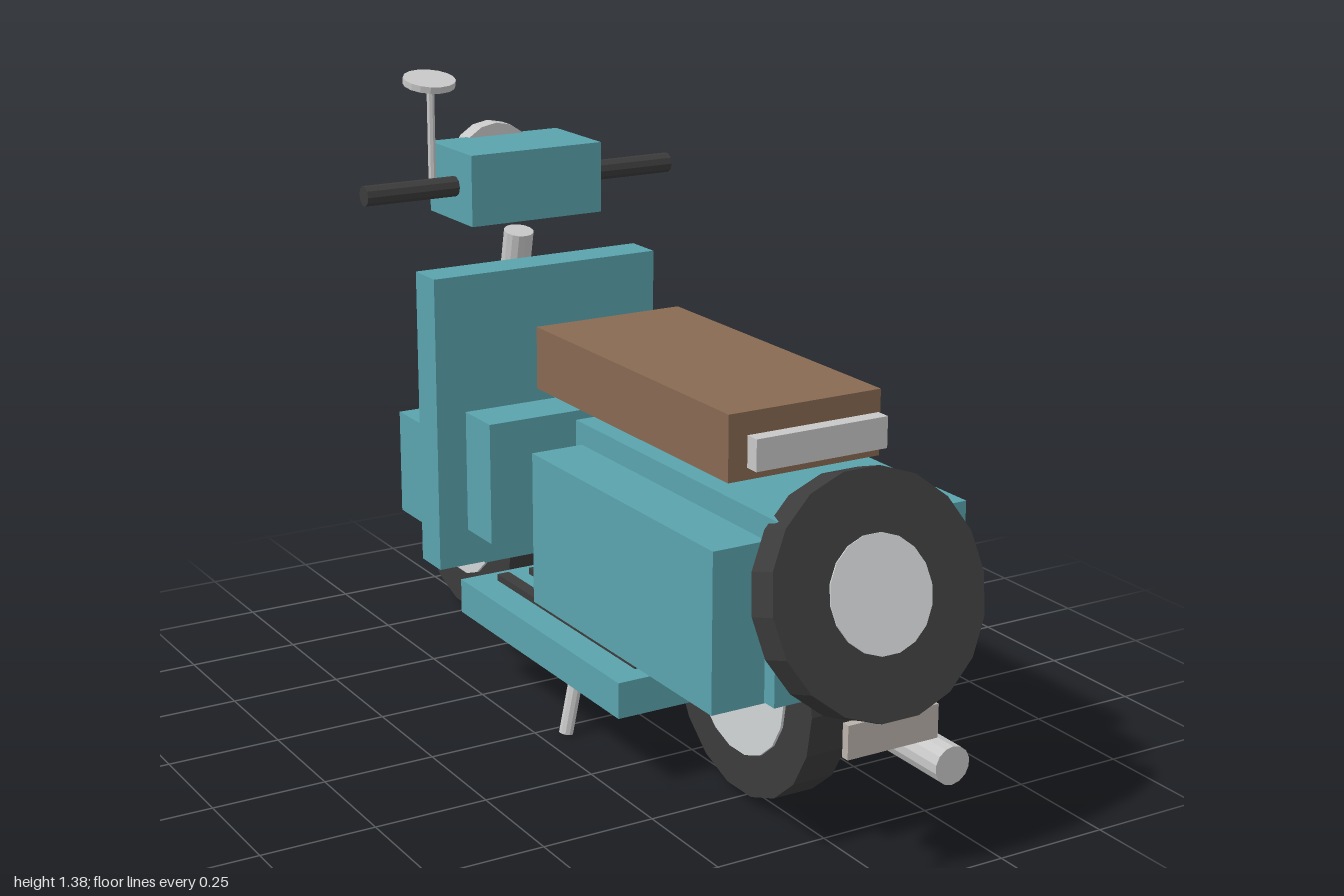
import * as THREE from 'three';

const mat = (name, hex) => {
  const m = new THREE.MeshStandardMaterial({ color: hex });
  m.name = name;
  return m;
};

export function createModel() {
  const root = new THREE.Group();
  root.name = 'scooter';

  const teal = mat('teal paint', 0x5aa4ad);
  const brown = mat('brown leather', 0x886a52);
  const rubber = mat('dark rubber', 0x3c3c3c);
  const chrome = mat('chrome', 0xc8c8c8);
  const hubGrey = mat('hub grey', 0xd2d5d6);
  const plateGrey = mat('plate grey', 0xbab2ac);

  // Faceted mesh: every face keeps its own normal
  const add = (name, geo, material, parent = root) => {
    const flat = geo.toNonIndexed();
    flat.computeVertexNormals();
    const mesh = new THREE.Mesh(flat, material);
    mesh.name = name;
    parent.add(mesh);
    return mesh;
  };

  // Box given by its extents on each axis
  const box = (name, material, [x0, x1], [y0, y1], [z0, z1]) =>
    add(name, new THREE.BoxGeometry(x1 - x0, y1 - y0, z1 - z0), material)
      .position.set((x0 + x1) / 2, (y0 + y1) / 2, (z0 + z1) / 2);

  // Cylinder running between two points
  const rod = (name, material, a, b, r, sides = 12, parent = root) => {
    const p = new THREE.Vector3(...a), q = new THREE.Vector3(...b);
    const dir = q.clone().sub(p);
    const mesh = add(name, new THREE.CylinderGeometry(r, r, dir.length(), sides), material, parent);
    mesh.position.copy(p).add(q).multiplyScalar(0.5);
    mesh.quaternion.setFromUnitVectors(new THREE.Vector3(0, 1, 0), dir.normalize());
    return mesh;
  };

  // Tyre with a slightly wider hub, axle along x
  const wheel = (name, radius, width, hubRadius, hubWidth) => {
    const g = new THREE.Group();
    g.name = name;
    rod('tyre', rubber, [-width / 2, 0, 0], [width / 2, 0, 0], radius, 18, g);
    rod('hub', hubGrey, [-hubWidth / 2, 0, 0], [hubWidth / 2, 0, 0], hubRadius, 18, g);
    root.add(g);
    return g;
  };

  // Wheels
  wheel('frontWheel', 0.257, 0.094, 0.167, 0.106).position.set(0, 0.277, -0.74);
  wheel('rearWheel', 0.257, 0.094, 0.167, 0.106).position.set(0, 0.277, 0.51);
  const spare = wheel('spareWheel', 0.243, 0.075, 0.117, 0.081);
  spare.rotation.set(-0.31, Math.PI / 2, 0, 'XYZ');
  spare.position.set(0, 0.564, 0.882);

  // Front end
  box('frontFender', teal, [-0.115, 0.115], [0.22, 0.475], [-0.94, -0.49]);
  rod('steeringColumn', chrome, [0, 1.0, -0.517], [0, 0.36, -0.657], 0.0345, 14);
  box('legShield', teal, [-0.282, 0.282], [0.265, 0.945], [-0.478, -0.387]);
  box('gloveBox', teal, [-0.21, 0.21], [0.35, 0.63], [-0.387, -0.27]);

  // Handlebar, headlight and mirror
  box('headset', teal, [-0.165, 0.165], [1.043, 1.204], [-0.635, -0.425]);
  rod('handlebar', rubber, [-0.39, 1.122, -0.507], [0.39, 1.122, -0.507], 0.023, 10);
  rod('headlightBody', chrome, [0, 1.135, -0.622], [0, 1.135, -0.667], 0.098, 16);
  rod('headlightLens', hubGrey, [0, 1.135, -0.66], [0, 1.135, -0.682], 0.084, 16);
  rod('mirrorStem', chrome, [-0.212, 1.12, -0.527], [-0.212, 1.355, -0.527], 0.009, 8);
  const mirror = add('mirror', new THREE.CylinderGeometry(0.059, 0.059, 0.015, 16), chrome);
  mirror.position.set(-0.212, 1.358, -0.532);
  mirror.rotation.x = 0.2;

  // Floorboard with rubber strips
  box('floorboard', teal, [-0.247, 0.247], [0.168, 0.247], [-0.353, 0.36]);
  for (const x of [-0.164, -0.082, 0.082, 0.164])
    box('floorStrip', rubber, [x - 0.015, x + 0.015], [0.24, 0.262], [-0.305, 0.31]);

  // Rear body and side panels
  box('rearBody', teal, [-0.175, 0.175], [0.347, 0.722], [0.06, 0.825]);
  for (const s of [-1, 1]) {
    const xs = s > 0 ? [0.16, 0.294] : [-0.294, -0.16];
    box('sidePanel', teal, xs, [0.345, 0.674], [0.085, 0.79]);
    rod('standLeg', chrome, [s * 0.194, 0.005, 0.04], [s * 0.135, 0.283, 0.04], 0.016, 10);
  }
  for (let i = 0; i < 4; i++) {
    const z = 0.346 + i * 0.082;
    box('ventSlot', rubber, [0.29, 0.313], [0.525, 0.545], [z - 0.029, z + 0.029]);
  }

  // Seat, tail light, number plate and exhaust
  box('seat', brown, [-0.177, 0.177], [0.75, 0.887], [-0.107, 0.657]);
  box('tailLight', chrome, [-0.152, 0.152], [0.785, 0.85], [0.685, 0.717]);
  box('rearPlate', plateGrey, [-0.105, 0.105], [0.28, 0.35], [0.952, 0.97]);
  rod('exhaust', chrome, [0.187, 0.181, 0.27], [0.187, 0.181, 0.915], 0.041, 14);

  return root;
}
